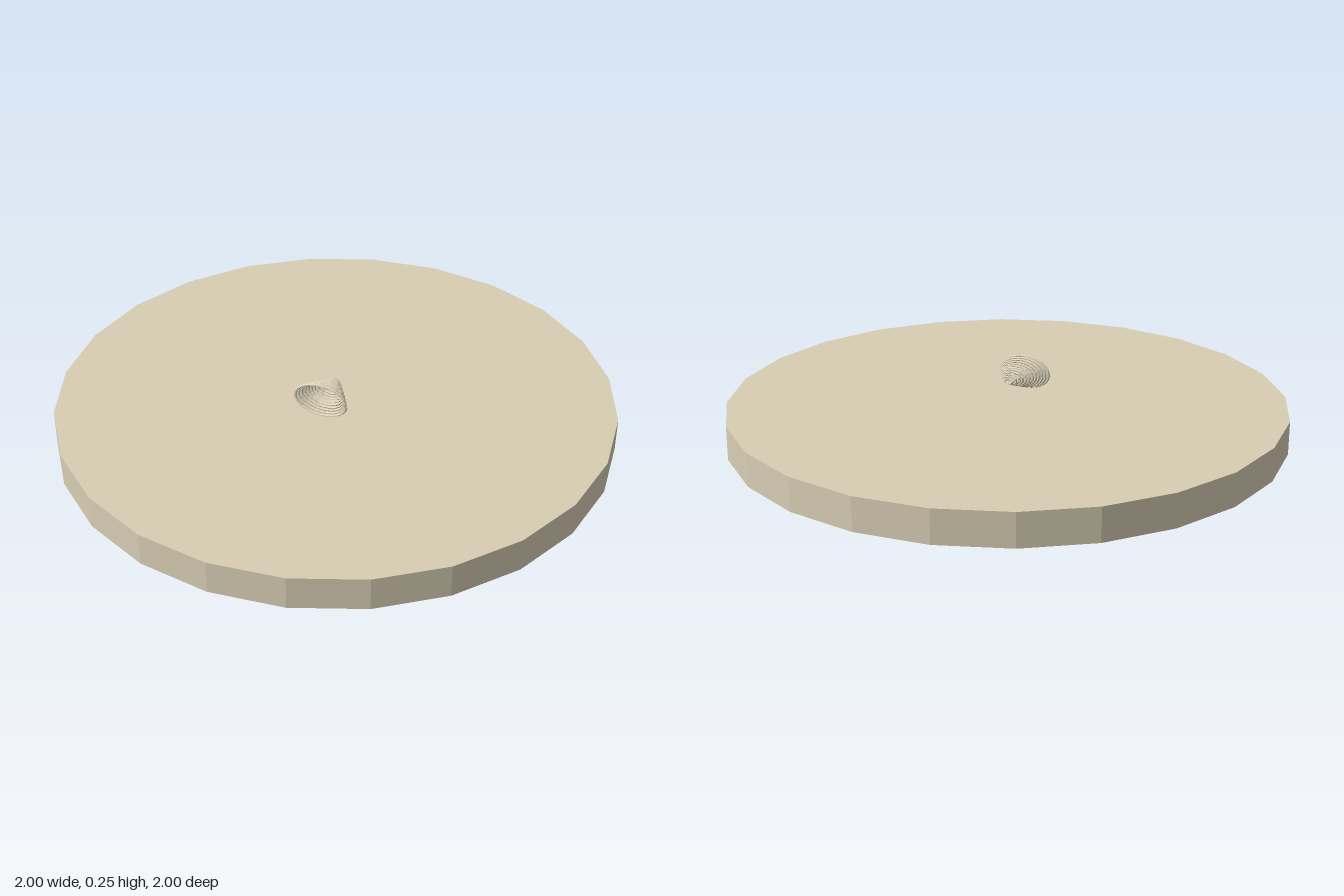
import * as THREE from 'three';

// Widening helix that runs from the narrow tip (z = 0) to the open mouth
class ConeHelix extends THREE.Curve {
  constructor(turns, tipRadius, mouthRadius, length) {
    super();
    Object.assign(this, { turns, tipRadius, mouthRadius, length });
    this.arcLengthDivisions = 1200;
  }
  getPoint(t, target = new THREE.Vector3()) {
    const a = t * this.turns * Math.PI * 2;
    const r = THREE.MathUtils.lerp(this.tipRadius, this.mouthRadius, t);
    return target.set(Math.cos(a) * r, Math.sin(a) * r, t * this.length);
  }
}

export function createModel() {
  const model = new THREE.Group();
  model.name = 'shellOnDisc';

  const sand = new THREE.MeshStandardMaterial({ color: 0xd8ceb4, flatShading: true });
  sand.name = 'sand';
  const shellColor = new THREE.MeshStandardMaterial({
    color: 0xdcd3ba, flatShading: true, side: THREE.DoubleSide,
  });
  shellColor.name = 'shell';

  // Round faceted base
  const discHeight = 0.12;
  const disc = new THREE.Mesh(new THREE.CylinderGeometry(1, 1, discHeight, 24), sand);
  disc.name = 'baseDisc';
  disc.position.y = discHeight / 2;
  model.add(disc);

  // Flattened spiral shell lying on the disc, mouth to the front
  const tube = 0.006;
  const helix = new ConeHelix(12, 0.015, 0.1, 0.135);
  const shell = new THREE.Mesh(new THREE.TubeGeometry(helix, 168, tube, 6, false), shellColor);
  shell.name = 'spiralShell';
  shell.scale.y = 0.61;
  shell.position.set(0, 0.187, tube);
  model.add(shell);

  return model;
}
